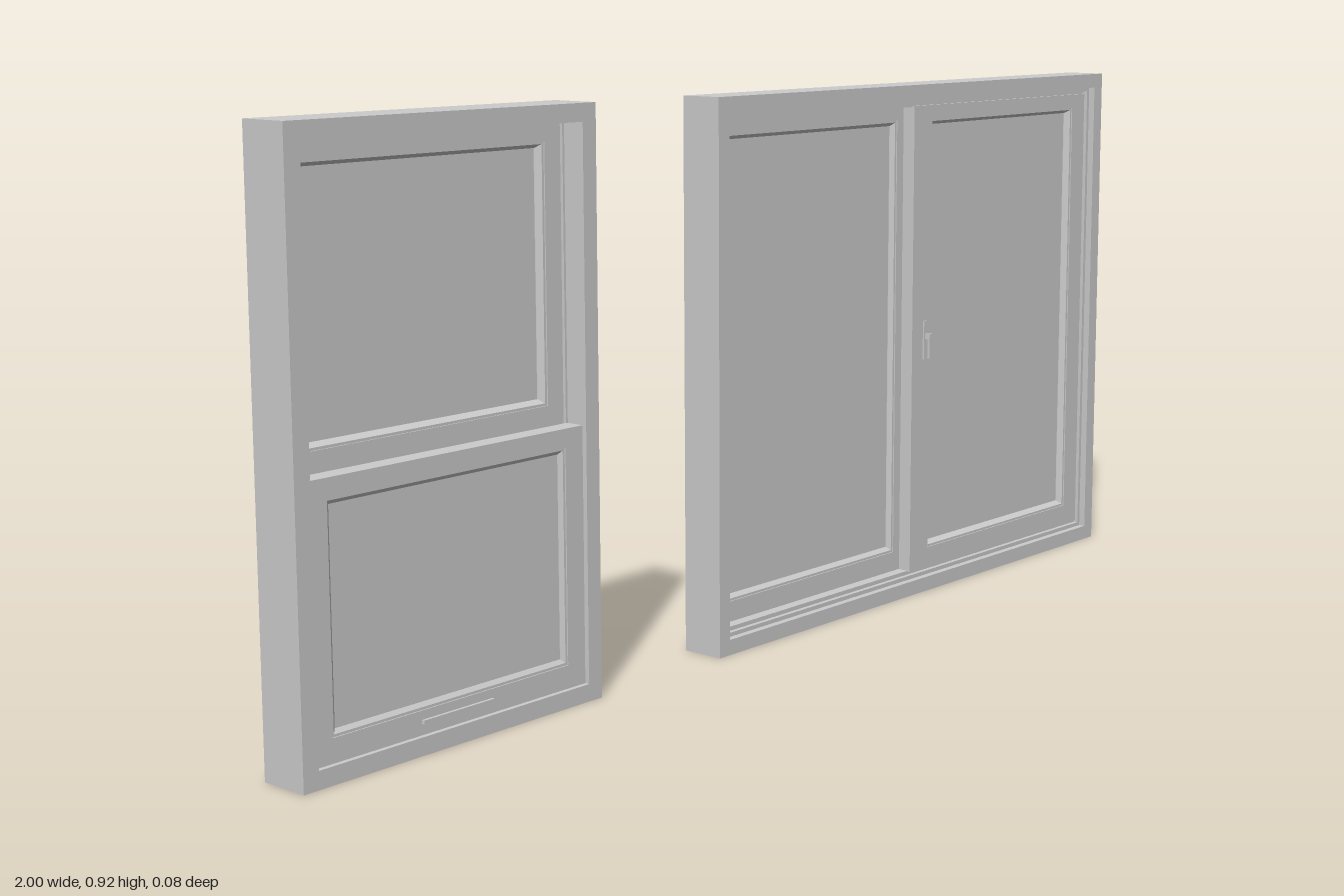
import * as THREE from 'three';

const material = new THREE.MeshStandardMaterial({ color: 0xcccccc, flatShading: true });

// Sweep a closed [inset, z] profile around a rectangle with mitred corners.
function rectSweep(name, [x0, x1, y0, y1], profile) {
  const corners = ([d, z]) => [
    [x0 + d, y0 + d, z], [x1 - d, y0 + d, z], [x1 - d, y1 - d, z], [x0 + d, y1 - d, z],
  ];
  const pos = [];
  profile.forEach((p, i) => {
    const a = corners(p);
    const b = corners(profile[(i + 1) % profile.length]);
    for (let k = 0; k < 4; k++) {
      const n = (k + 1) % 4;
      pos.push(...a[k], ...a[n], ...b[n], ...a[k], ...b[n], ...b[k]);
    }
  });
  const geometry = new THREE.BufferGeometry();
  geometry.setAttribute('position', new THREE.Float32BufferAttribute(pos, 3));
  geometry.computeVertexNormals();
  const mesh = new THREE.Mesh(geometry, material);
  mesh.name = name;
  return mesh;
}

// Rectangular ring: outer front edge, inner front edge, inner back edge, outer back edge.
const ring = (name, rect, inset, border, zBack, zFront) =>
  rectSweep(name, rect, [
    [inset, zFront], [border, zFront], [border, zBack], [inset, zBack],
  ]);

function box(name, x0, x1, y0, y1, z0, z1) {
  const mesh = new THREE.Mesh(new THREE.BoxGeometry(x1 - x0, y1 - y0, z1 - z0), material);
  mesh.position.set((x0 + x1) / 2, (y0 + y1) / 2, (z0 + z1) / 2);
  mesh.name = name;
  return mesh;
}

// Sash: rails and stiles around a pane, with sloped glazing beads on both faces.
function sash(name, [x0, x1, y0, y1], [gx0, gx1, gy0, gy1], zBack, zFront, zGlass) {
  const group = new THREE.Group();
  group.name = name;
  const bead = 0.01;
  const o = [gx0 - bead, gx1 + bead, gy0 - bead, gy1 + bead];
  group.add(
    box('leftStile', x0, o[0], y0, y1, zBack, zFront),
    box('rightStile', o[1], x1, y0, y1, zBack, zFront),
    box('bottomRail', o[0], o[1], y0, o[2], zBack, zFront),
    box('topRail', o[0], o[1], o[3], y1, zBack, zFront),
    rectSweep('glazingBead', o, [
      [0, zFront - 0.002], [0.004, zFront - 0.002], [bead, zGlass + 0.003],
      [bead, zGlass - 0.003], [0.004, zBack + 0.002], [0, zBack + 0.002],
    ]),
    box('glass', gx0, gx1, gy0, gy1, zGlass - 0.002, zGlass + 0.002),
  );
  return group;
}

function hungWindow() {
  const group = new THREE.Group();
  group.name = 'hungWindow';
  const outer = [-1, -0.41, 0, 0.922];
  group.add(
    ring('frame', outer, 0, 0.028, -0.042, 0.042),
    ring('partingStop', outer, 0.027, 0.032, -0.003, 0.003),
    sash('upperSash', [-0.972, -0.438, 0.422, 0.894], [-0.93, -0.485, 0.475, 0.855], -0.033, -0.002, -0.017),
    sash('lowerSash', [-0.972, -0.438, 0.028, 0.434], [-0.93, -0.485, 0.075, 0.395], 0.002, 0.034, 0.024),
    box('sashLift', -0.775, -0.635, 0.045, 0.051, 0.033, 0.039),
  );
  return group;
}

function slidingWindow() {
  const group = new THREE.Group();
  group.name = 'slidingWindow';
  const outer = [-0.13, 1, 0, 0.918];
  group.add(
    // Stepped frame: deep outer border, then tracks on both faces
    rectSweep('frame', outer, [
      [0, 0.042], [0.026, 0.042], [0.026, 0.03], [0.033, 0.03], [0.033, 0.022],
      [0.04, 0.022], [0.04, -0.018], [0.033, -0.018], [0.033, -0.025],
      [0.026, -0.025], [0.026, -0.033], [0, -0.033],
    ]),
    sash('fixedSash', [-0.092, 0.452, 0.038, 0.88], [-0.05, 0.385, 0.085, 0.845], -0.023, 0.002, -0.01),
    sash('slidingSash', [0.412, 0.962, 0.038, 0.88], [0.475, 0.91, 0.085, 0.845], 0.003, 0.027, 0.012),
  );

  // Latch on the sliding sash's meeting stile
  const handle = new THREE.Group();
  handle.name = 'handle';
  handle.add(
    box('handlePlate', 0.444, 0.456, 0.425, 0.495, 0.026, 0.03),
    box('handleNeck', 0.447, 0.453, 0.462, 0.472, 0.03, 0.037),
    box('handleLever', 0.446, 0.454, 0.428, 0.472, 0.036, 0.041),
  );
  group.add(handle);
  return group;
}

export function createModel() {
  const model = new THREE.Group();
  model.name = 'windows';
  model.add(hungWindow(), slidingWindow());
  return model;
}
